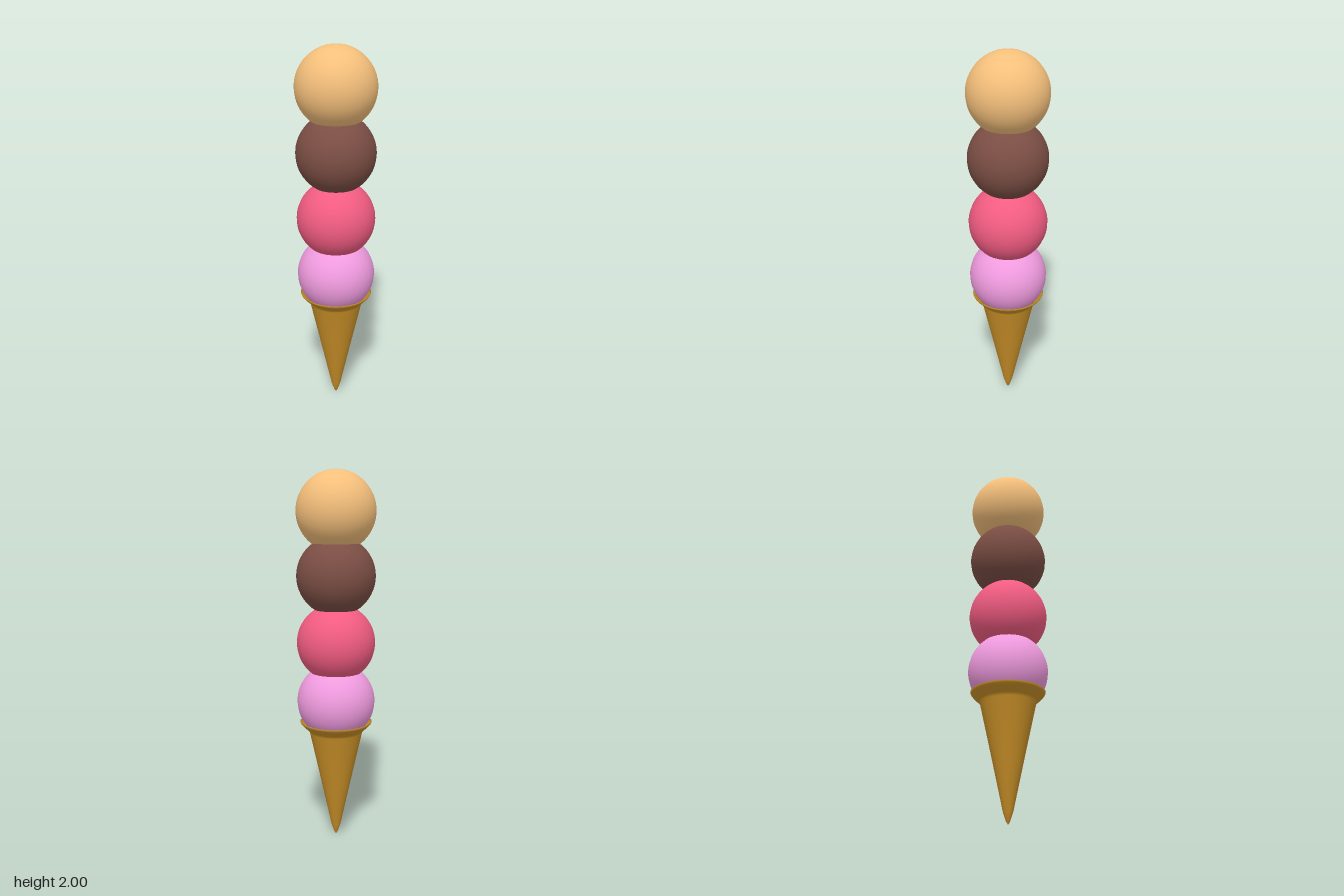
import * as THREE from 'three';

const SCOOP_RADIUS = 0.21;

// Scoops from bottom to top: name, centre height, colour
const SCOOPS = [
  ['lilacScoop', 0.78, 0xf09bdf],
  ['pinkScoop', 1.1, 0xf25c82],
  ['brownScoop', 1.455, 0x7b4e44],
  ['caramelScoop', 1.79, 0xf4bf7b],
];

// Cone outline (radius, height) from the tip to the flared rim
const CONE_PROFILE = [
  [0, 0], [0.009, 0.014], [0.025, 0.06], [0.085, 0.335], [0.145, 0.605],
  [0.153, 0.619], [0.174, 0.638], [0.19, 0.655], [0.196, 0.666], [0.19, 0.667],
];

export function createModel() {
  const model = new THREE.Group();
  model.name = 'iceCream';

  // Wafer cone, open at the top under the first scoop
  const cone = new THREE.Mesh(
    new THREE.LatheGeometry(CONE_PROFILE.map(([r, y]) => new THREE.Vector2(r, y)), 32),
    new THREE.MeshStandardMaterial({ color: 0xc68e27, side: THREE.DoubleSide })
  );
  cone.name = 'cone';
  model.add(cone);

  // Stacked, overlapping scoops
  const scoopGeometry = new THREE.SphereGeometry(SCOOP_RADIUS, 32, 32);
  for (const [name, y, color] of SCOOPS) {
    const scoop = new THREE.Mesh(scoopGeometry, new THREE.MeshStandardMaterial({ color }));
    scoop.name = name;
    scoop.position.y = y;
    model.add(scoop);
  }

  return model;
}
